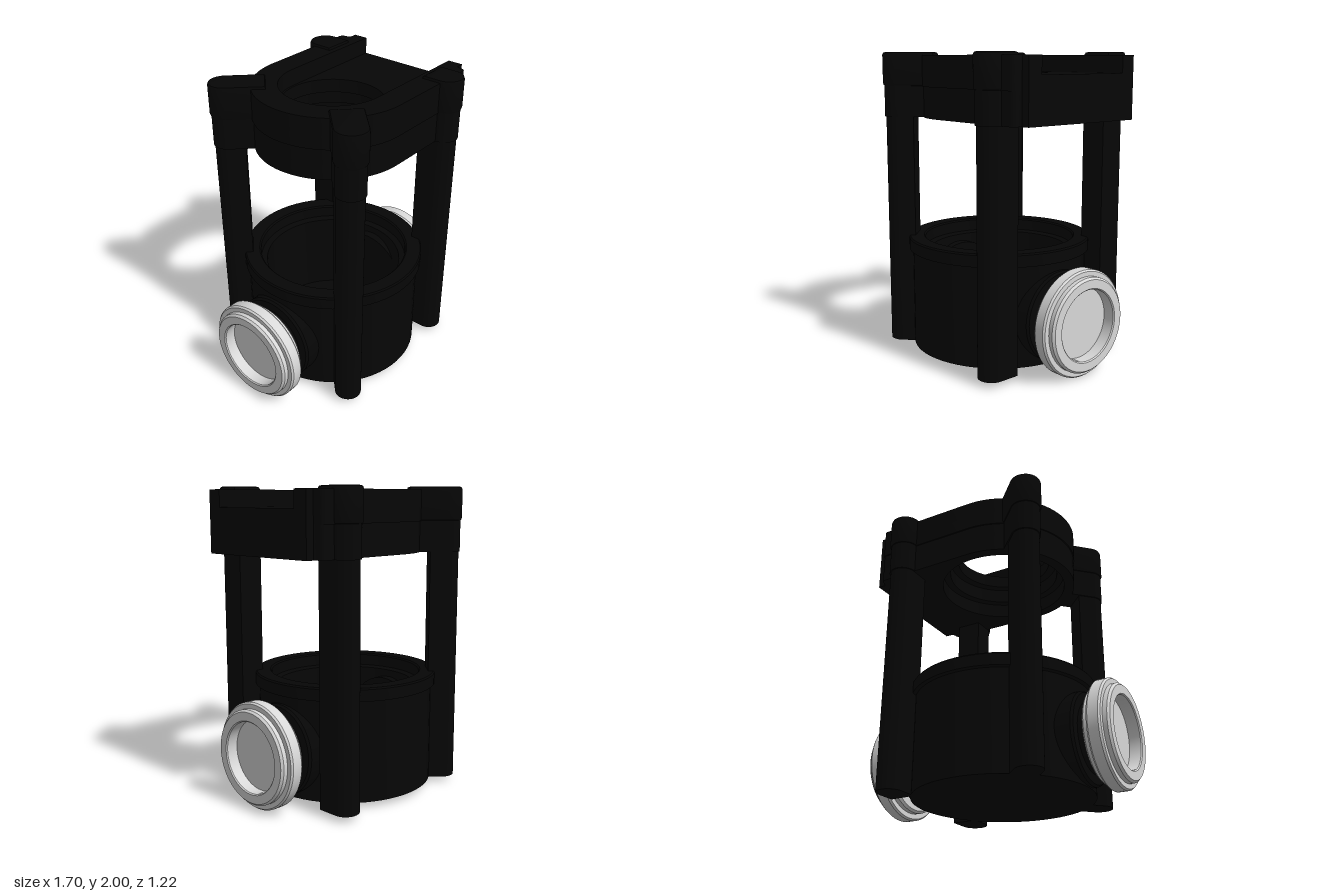
import * as THREE from 'three';
import { toCreasedNormals } from 'three/addons/utils/BufferGeometryUtils.js';

const black = new THREE.MeshStandardMaterial({ color: 0x060606 });
black.name = 'black';
const paleGrey = new THREE.MeshStandardMaterial({ color: 0xd8d8d8 });
paleGrey.name = 'paleGrey';

function part(name, geometry, material) {
  const mesh = new THREE.Mesh(toCreasedNormals(geometry, 0.6), material);
  mesh.name = name;
  return mesh;
}

function lathe(points, segments) {
  return new THREE.LatheGeometry(points.map(([r, y]) => new THREE.Vector2(r, y)), segments);
}

// Extrudes a plan shape (x, -z) upward from y0 to y1, with optional rounded edges
function slab(shape, y0, y1, bevel = 0) {
  const g = new THREE.ExtrudeGeometry(shape, {
    depth: y1 - y0 - 2 * bevel, curveSegments: 40, bevelEnabled: bevel > 0,
    bevelSize: bevel, bevelOffset: -bevel, bevelThickness: bevel, bevelSegments: 2,
  });
  return g.rotateX(-Math.PI / 2).translate(0, y0 + bevel, 0);
}

// Bar plan: round at its outer end, square at its inner end (along -y)
function barShape(r, length) {
  const s = new THREE.Shape();
  s.moveTo(-r, -length);
  s.lineTo(r, -length);
  s.lineTo(r, 0);
  s.absarc(0, 0, r, 0, Math.PI, false);
  s.closePath();
  return s;
}

// Plan of the top frame: a half disc that runs straight into a stepped block on the +x side
function frameShape(w) {
  const s = new THREE.Shape();
  s.absarc(0, 0, w, Math.PI / 2, Math.PI * 1.5, false);
  s.lineTo(0.67, -w);
  s.quadraticCurveTo(0.705, -w, 0.705, -w + 0.035);
  s.lineTo(0.715, -0.44);
  s.lineTo(0.77, -0.44);
  return s;
}

function closeFrame(s, w) {
  s.lineTo(0.77, 0.44);
  s.lineTo(0.715, 0.44);
  s.lineTo(0.705, w - 0.035);
  s.quadraticCurveTo(0.705, w, 0.67, w);
  s.closePath();
  return s;
}

function frameLayer(w, bore) {
  const s = closeFrame(frameShape(w), w);
  const hole = new THREE.Path();
  hole.absarc(0, 0, bore, 0, Math.PI * 2, true);
  s.holes.push(hole);
  return s;
}

// Upper frame layer with a round-ended channel open toward +x
function channelLayer(w, half) {
  const s = frameShape(w);
  s.lineTo(0.77, -half);
  s.lineTo(0, -half);
  s.absarc(0, 0, half, -Math.PI / 2, -Math.PI * 1.5, true);
  s.lineTo(0.77, half);
  return closeFrame(s, w);
}

export function createModel() {
  const model = new THREE.Group();
  model.name = 'cupHolder';

  // Round cup with a raised rim and stepped inside
  model.add(part('cup', lathe([
    [0, 0.04], [0.585, 0.04], [0.585, 0.695], [0.61, 0.7], [0.61, 0.775], [0.602, 0.785],
    [0.51, 0.785], [0.5, 0.775], [0.5, 0.7], [0.46, 0.69], [0.46, 0.12], [0, 0.12],
  ], 64), black));

  // Top frame
  model.add(part('frameBase', slab(frameLayer(0.5, 0.43), 1.58, 1.68), black));
  model.add(part('frameMiddle', slab(frameLayer(0.5, 0.38), 1.68, 1.78), black));
  model.add(part('frameFloor', slab(frameLayer(0.508, 0.325), 1.78, 1.87), black));
  model.add(part('frameTop', slab(channelLayer(0.508, 0.34), 1.87, 1.98), black));

  // Four posts with sleeves and capped lugs; the pair at -x sits diagonally
  for (const side of [1, -1]) {
    for (const diagonal of [false, true]) {
      const corner = new THREE.Group();
      corner.name = diagonal ? 'diagonalPost' : 'straightPost';
      const lug = diagonal ? 0.25 : 0.12;
      const sleeve = diagonal ? 0.2 : 0.14;
      const inner = diagonal ? 0.11 : 0.135;
      corner.add(part('post', slab(barShape(0.087, inner), 0.04, 1.6), black));
      corner.add(part('sleeve', slab(barShape(0.095, sleeve), 1.58, 1.79), black));
      corner.add(part('lug', slab(barShape(0.104, lug), 1.78, 2, 0.018), black));
      corner.position.set(diagonal ? -0.44 : 0.515, 0, side * 0.498);
      // The bar's round end points to -z before turning
      const turn = diagonal ? Math.PI / 4 : 0;
      corner.rotation.y = side > 0 ? Math.PI - turn : turn;
      model.add(corner);
    }
  }

  // Side wheels on stepped hubs
  for (const side of [1, -1]) {
    const wheel = new THREE.Group();
    wheel.name = side > 0 ? 'leftWheel' : 'rightWheel';
    const hub = lathe([
      [0, 0.4], [0.297, 0.4], [0.297, 0.605], [0.285, 0.62], [0.226, 0.62], [0.226, 0.7], [0, 0.7],
    ], 48);
    const rim = lathe([
      [0, 0.675], [0.285, 0.675], [0.3, 0.688], [0.3, 0.72], [0.333, 0.72], [0.343, 0.732],
      [0.343, 0.798], [0.333, 0.81], [0.303, 0.81], [0.303, 0.838], [0.29, 0.852],
      [0.235, 0.852], [0.228, 0.845], [0.228, 0.77], [0, 0.77],
    ], 64);
    wheel.add(part('hub', hub.rotateZ(-Math.PI / 2), black));
    wheel.add(part('rim', rim.rotateZ(-Math.PI / 2), paleGrey));
    wheel.position.y = 0.345;
    wheel.rotation.y = side > 0 ? 0 : Math.PI;
    model.add(wheel);
  }
  return model;
}
